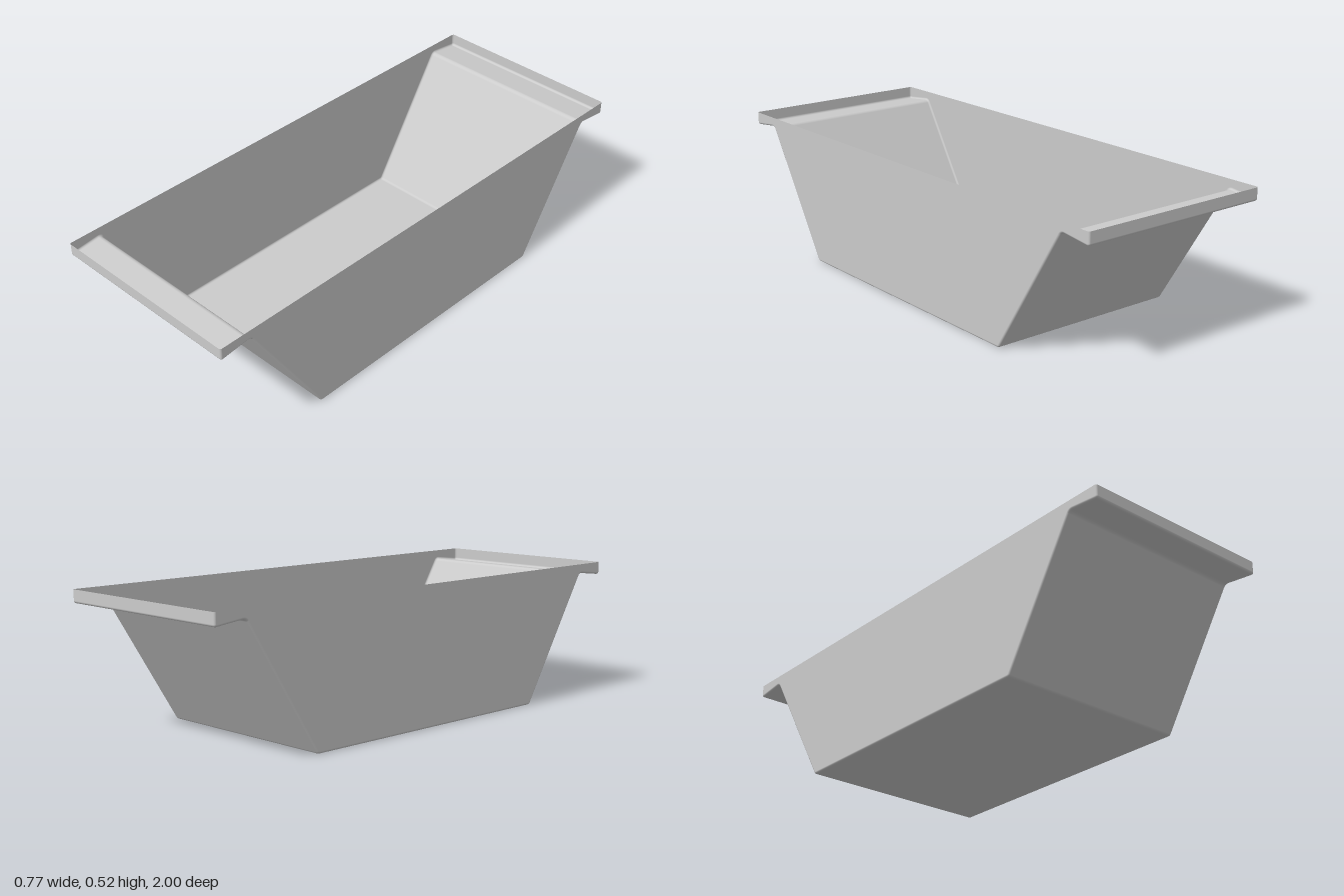
import * as THREE from 'three';

const HALF_W = 0.386, TOP = 0.525, FILLET = 0.008;

// Side outline corners as [z, y, corner radius], running from the +z rim to the -z rim
const half = [[1, TOP, 0], [1, 0.475, 0.009], [0.872, 0.49, 0.02], [0.565, 0, 0.014]];
const corners = [...half, ...half.map(([z, y, r]) => [-z, y, r]).reverse()];

// Rounded outline: points with outward normals, so it can be inset exactly
function roundedOutline() {
  const pts = corners.map(([z, y]) => new THREE.Vector2(z, y));
  const normals = pts.slice(1).map((p, i) => {
    const d = p.clone().sub(pts[i]).normalize();
    return new THREE.Vector2(-d.y, d.x);
  });
  const out = [{ p: pts[0], n: normals[0] }];
  for (let i = 1; i < pts.length - 1; i++) {
    const a = normals[i - 1], b = normals[i];
    const s = a.cross(b) < 0 ? 1 : -1; // convex or concave corner
    const r = corners[i][2] * s;
    const centre = pts[i].clone().addScaledVector(a.clone().add(b), -r / (1 + a.dot(b)));
    for (let k = 0; k <= 6; k++) {
      const angle = Math.atan2(a.cross(b), a.dot(b)) * k / 6;
      const n = a.clone().rotateAround(new THREE.Vector2(), angle);
      out.push({ p: centre.clone().addScaledVector(n, r), n });
    }
  }
  out.push({ p: pts[pts.length - 1], n: normals[normals.length - 1] });
  return out;
}

// Floor, sloping ends, ledges and lips as one sheet with filleted long edges
function sheetGeometry(outline) {
  const pos = [], nor = [], idx = [], steps = 5, stations = [];
  for (const side of [-1, 1]) {
    for (let k = 0; k <= steps; k++) {
      const t = side < 0 ? 1 - k / steps : k / steps;
      stations.push([side, t * Math.PI / 2]);
    }
  }
  for (const [side, a] of stations) {
    const x = side * (HALF_W - FILLET + FILLET * Math.sin(a));
    const inset = FILLET * (1 - Math.cos(a));
    for (const { p, n } of outline) {
      pos.push(x, p.y - n.y * inset, p.x - n.x * inset);
      nor.push(side * Math.sin(a), n.y * Math.cos(a), n.x * Math.cos(a));
    }
  }
  const m = outline.length;
  for (let j = 0; j < stations.length - 1; j++) {
    for (let i = 0; i < m - 1; i++) {
      const a = j * m + i, b = a + 1, c = a + m, d = c + 1;
      idx.push(a, b, c, b, d, c);
    }
  }
  const g = new THREE.BufferGeometry();
  g.setAttribute('position', new THREE.Float32BufferAttribute(pos, 3));
  g.setAttribute('normal', new THREE.Float32BufferAttribute(nor, 3));
  g.setIndex(idx);
  return g;
}

export function createModel() {
  const group = new THREE.Group();
  group.name = 'openTrough';
  const material = new THREE.MeshStandardMaterial({ color: 0xcccccc, side: THREE.DoubleSide });
  const add = (name, geometry) => {
    const mesh = new THREE.Mesh(geometry, material);
    mesh.name = name;
    group.add(mesh);
    return mesh;
  };

  const outline = roundedOutline();
  add('floorEndsAndLips', sheetGeometry(outline));

  // Flat side walls closing the sheet
  const shape = new THREE.Shape(outline.map(({ p, n }) => p.clone().addScaledVector(n, -FILLET)));
  for (const [name, s] of [['leftWall', 1], ['rightWall', -1]]) {
    const wall = new THREE.ShapeGeometry(shape).rotateY(s * Math.PI / 2);
    add(name, wall).position.x = s * HALF_W;
  }
  return group;
}
